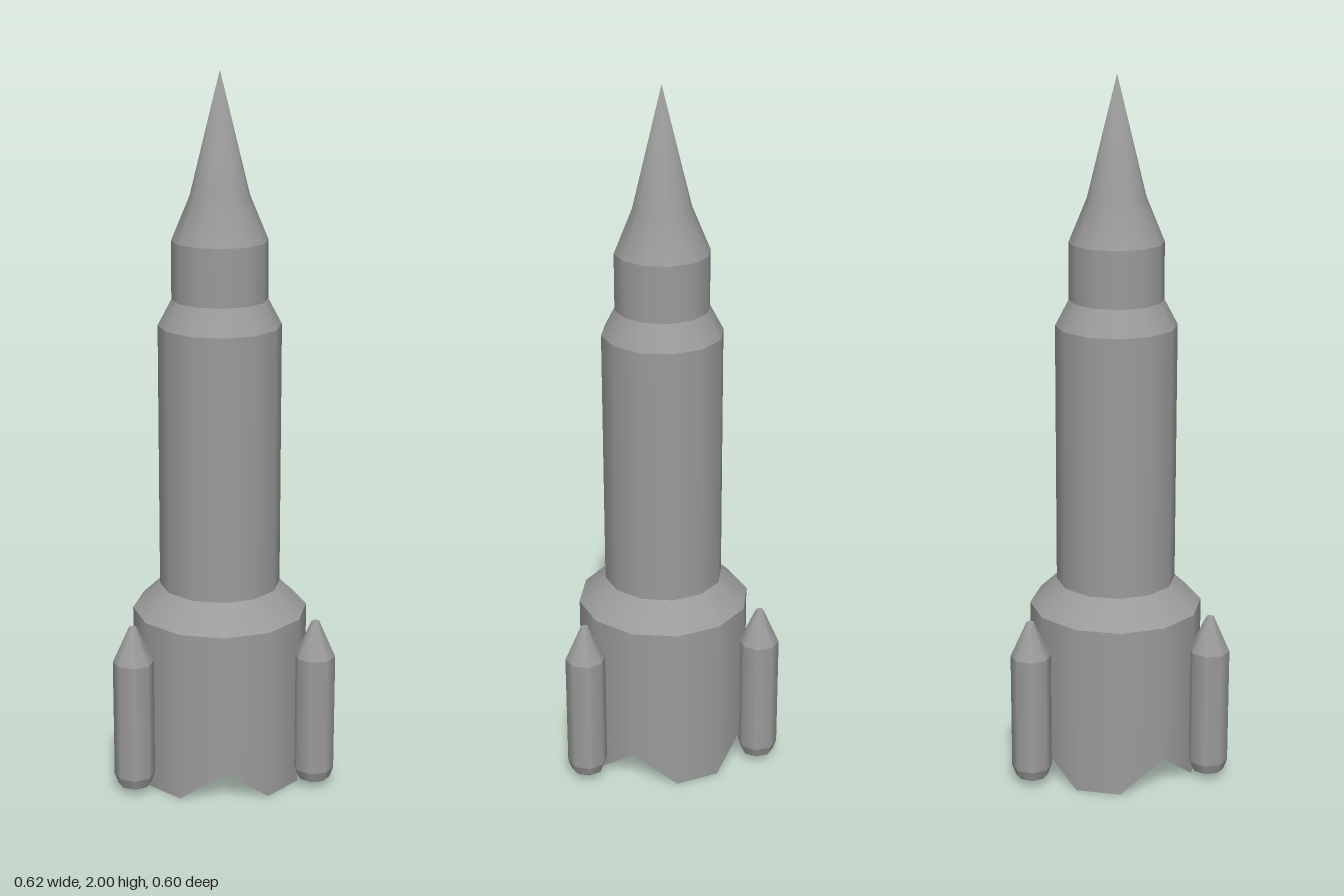
import * as THREE from 'three';

const material = new THREE.MeshStandardMaterial({ color: 0x9b9b9b, side: THREE.DoubleSide });

function addMesh(parent, name, geometry) {
  const mesh = new THREE.Mesh(geometry, material);
  mesh.name = name;
  parent.add(mesh);
  return mesh;
}

// Straight or conical band; separate bands keep the edges between them sharp
function band(parent, name, y0, r0, y1, r1, sides) {
  const geometry = new THREE.CylinderGeometry(r1, r0, y1 - y0, sides, 1, true);
  geometry.translate(0, (y0 + y1) / 2, 0);
  return addMesh(parent, name, geometry);
}

function disc(parent, name, y, r, sides, up) {
  const geometry = new THREE.CircleGeometry(r, sides, Math.PI / 2);
  geometry.rotateX(up ? -Math.PI / 2 : Math.PI / 2);
  geometry.translate(0, y, 0);
  return addMesh(parent, name, geometry);
}

// Lift every third corner of a band's bottom edge to leave four feet
function notch(mesh, columns) {
  const position = mesh.geometry.attributes.position;
  for (let i = 0; i <= columns; i += 3) position.setY(columns + 1 + i, 0.09);
}

function makeBody() {
  const body = new THREE.Group();
  body.name = 'body';
  const sides = 12;

  // Notched skirt with tapering inner wall, bevelled rim and ceiling
  notch(band(body, 'skirt', 0, 0.247, 0.495, 0.247, sides), sides);
  notch(band(body, 'skirtInside', 0.02, 0.19, 0.13, 0.145, sides), sides);
  const rim = new THREE.RingGeometry(0.19, 0.247, sides, 1);
  rim.rotateX(Math.PI / 2);
  for (let i = 0; i <= sides; i++) {
    const notched = i % 3 === 0;
    rim.attributes.position.setY(i, notched ? 0.09 : 0.02);
    rim.attributes.position.setY(sides + 1 + i, notched ? 0.09 : 0);
  }
  const flatRim = rim.toNonIndexed();
  flatRim.computeVertexNormals();
  addMesh(body, 'skirtRim', flatRim);
  disc(body, 'skirtCeiling', 0.13, 0.145, sides, false);

  // Stages above the skirt
  band(body, 'skirtShoulder', 0.495, 0.247, 0.568, 0.17, sides);
  band(body, 'mainStage', 0.568, 0.17, 1.315, 0.17, sides);
  band(body, 'stageShoulder', 1.315, 0.17, 1.387, 0.132, sides);
  band(body, 'upperStage', 1.387, 0.132, 1.547, 0.132, sides);

  // Smooth nose, its shading rounding over at the tip
  const profile = [[0.132, 1.547], [0.081, 1.67], [0, 2]].map(([r, y]) => new THREE.Vector2(r, y));
  const nose = new THREE.LatheGeometry(profile, sides);
  for (let i = 2; i < nose.attributes.normal.count; i += 3) nose.attributes.normal.setXYZ(i, 0, 1, 0);
  addMesh(body, 'noseCone', nose);
  return body;
}

function makeBooster() {
  const booster = new THREE.Group();
  booster.name = 'booster';
  const sides = 8;
  disc(booster, 'boosterBase', 0.025, 0.046, sides, false);
  band(booster, 'boosterBevel', 0.025, 0.046, 0.055, 0.057, sides);
  band(booster, 'boosterTube', 0.055, 0.057, 0.395, 0.057, sides);
  band(booster, 'boosterCone', 0.395, 0.057, 0.497, 0.011, sides);
  disc(booster, 'boosterTip', 0.497, 0.011, sides, true);
  return booster;
}

export function createModel() {
  const model = new THREE.Group();
  model.name = 'rocket';

  const body = makeBody();
  body.position.set(-0.004, 0, 0.05);
  model.add(body);

  // Three boosters around the skirt: x, z, turn
  for (const [x, z, turn] of [[-0.013, -0.243, 0.26], [-0.254, 0.206, 0], [0.255, 0.19, -0.26]]) {
    const booster = makeBooster();
    booster.position.set(x, 0, z);
    booster.rotation.y = turn;
    model.add(booster);
  }
  return model;
}
